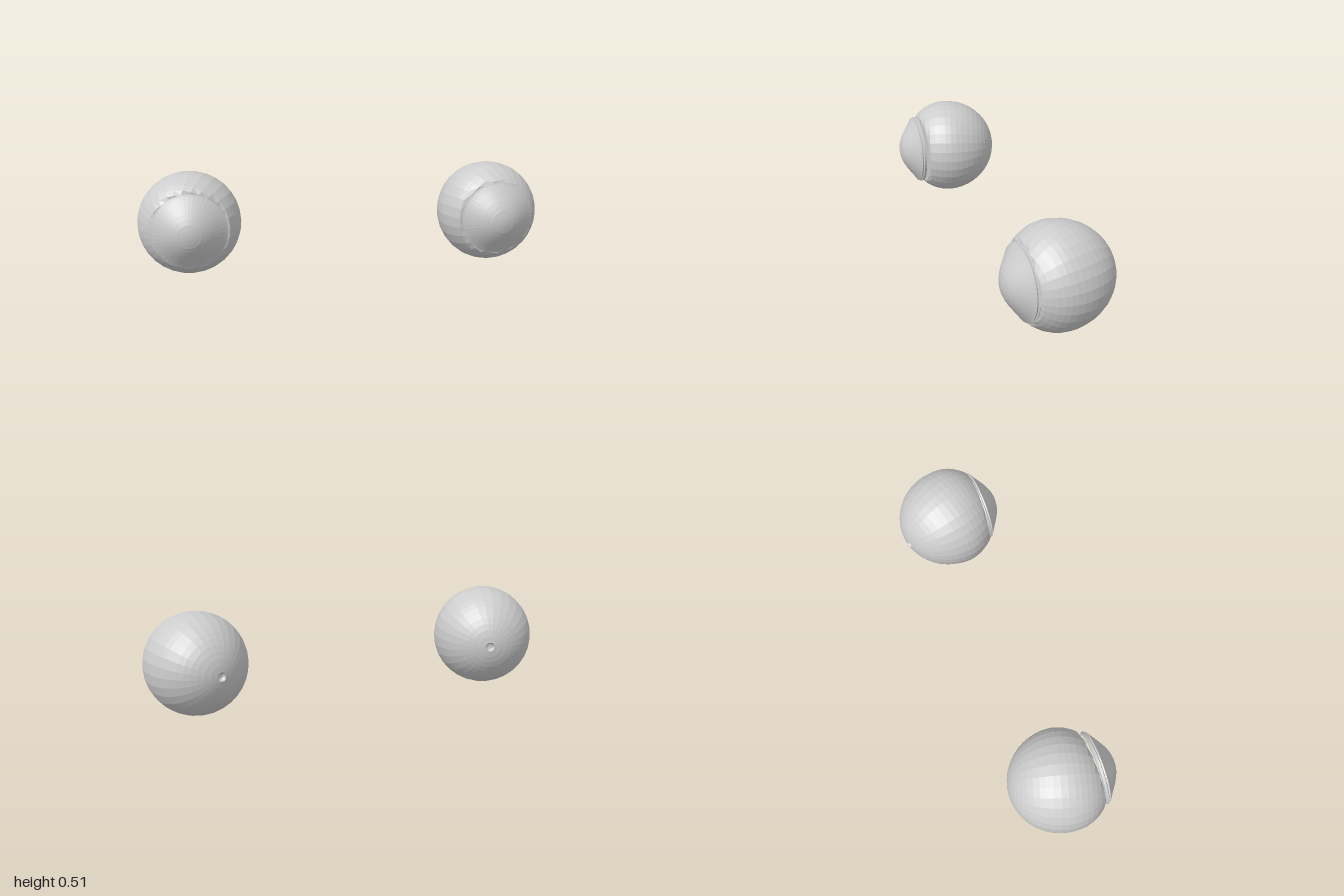
import * as THREE from 'three';

const grey = new THREE.MeshStandardMaterial({ color: 0xcccccc, flatShading: true });
grey.name = 'pale grey';
const smoothGrey = grey; // one colour throughout

const v2 = (list) => list.map(([r, y]) => new THREE.Vector2(r, y));

// Faceted ball, longer at the back, with a small nerve dimple on the inner rear side
function ballGeometry(side, backDepth) {
  const profile = [];
  const rows = 24;
  for (let i = 0; i <= rows; i++) {
    const a = Math.PI + (0.09 - Math.PI) * (i / rows);
    profile.push([Math.max(0, Math.sin(a)), Math.cos(a)]);
  }
  profile.push([0.055, 0.94], [0, 0.93]);
  const geo = new THREE.LatheGeometry(v2(profile), 30);
  const nerve = new THREE.Vector3(-0.29 * side, 0, -0.94).normalize();
  geo.applyQuaternion(new THREE.Quaternion().setFromUnitVectors(new THREE.Vector3(0, 1, 0), nerve));

  // stretch the back, flatten the front where the cornea sits
  const p = geo.attributes.position;
  for (let i = 0; i < p.count; i++) {
    const z = p.getZ(i);
    p.setXYZ(i, p.getX(i) * 0.249, p.getY(i) * 0.249, Math.min(0.15, z * (z > 0 ? 0.225 : backDepth)));
  }
  geo.computeVertexNormals();
  return geo;
}

// Domed cornea with a grooved double rim, turned to face +z
function corneaGeometry() {
  const profile = v2([
    [0.165, 0.14], [0.178, 0.143], [0.18, 0.154], [0.172, 0.158], [0.175, 0.165],
    [0.161, 0.174], [0.143, 0.187], [0.125, 0.2], [0.102, 0.216], [0.08, 0.229],
    [0.057, 0.24], [0.035, 0.246], [0.015, 0.2495], [0, 0.25],
  ]);
  return new THREE.LatheGeometry(profile, 48).rotateX(Math.PI / 2);
}

function makeEye(name, side, y, backDepth, corneaShift) {
  const eye = new THREE.Group();
  eye.name = name;
  const ball = new THREE.Mesh(ballGeometry(side, backDepth), grey);
  ball.name = 'eyeball';
  const cornea = new THREE.Mesh(corneaGeometry(), smoothGrey);
  cornea.name = 'cornea';
  cornea.rotation.y = 0.04 * side;
  cornea.position.z = corneaShift;
  eye.add(ball, cornea);
  eye.position.set(0.751 * side, y, 0);
  return eye;
}

export function createModel() {
  const model = new THREE.Group();
  model.name = 'pairOfEyes';
  model.add(makeEye('leftEye', 1, 0.251, 0.27, 0));
  model.add(makeEye('rightEye', -1, 0.262, 0.26, 0.017));
  return model;
}
